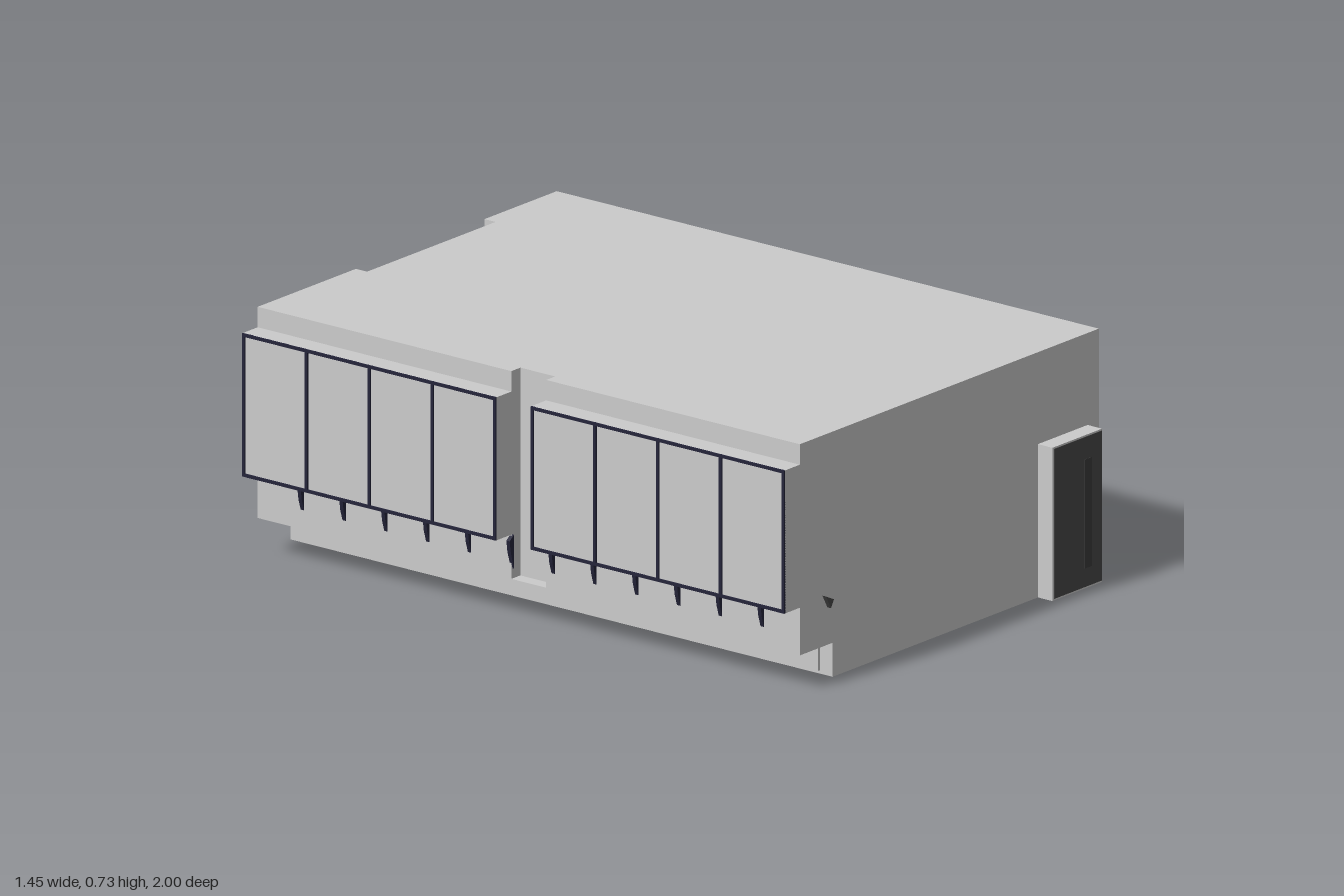
import * as THREE from 'three';

const grey = new THREE.MeshStandardMaterial({ color: 0xcccccc, flatShading: true });
const coloured = (color) => {
  const m = new THREE.MeshStandardMaterial({ flatShading: true });
  m.color.set(color);
  return m;
};
const navy = coloured(0x24243a);
const charcoal = coloured(0x484848);

// Box given by its extents
function box(parent, name, [x0, x1], [y0, y1], [z0, z1], material = grey) {
  const mesh = new THREE.Mesh(new THREE.BoxGeometry(x1 - x0, y1 - y0, z1 - z0), material);
  mesh.position.set((x0 + x1) / 2, (y0 + y1) / 2, (z0 + z1) / 2);
  mesh.name = name;
  parent.add(mesh);
  return mesh;
}

// Floor plan [x, z] raised from y0 to y1
function slab(parent, name, plan, y0, y1) {
  const shape = new THREE.Shape(plan.map(([x, z]) => new THREE.Vector2(x, -z)));
  const geo = new THREE.ExtrudeGeometry(shape, { depth: y1 - y0, bevelEnabled: false });
  geo.rotateX(-Math.PI / 2).translate(0, y0, 0);
  const mesh = new THREE.Mesh(geo, grey);
  mesh.name = name;
  parent.add(mesh);
}

// Projecting window bay with a thin dark frame and mullions
function windowBay(parent, name, side, wall, [y0, y1], [z0, z1], panes) {
  const bay = new THREE.Group();
  bay.name = name;
  const span = (a, b) => [Math.min(side * a, side * b), Math.max(side * a, side * b)];
  box(bay, 'bayBox', span(wall, 0.72), [y0, y1], [z0, z1]);
  const t = 0.009;
  const depth = span(0.719, 0.725);
  for (const y of [y0, y1 - t]) box(bay, 'frameRail', depth, [y, y + t], [z0, z1], navy);
  for (let i = 0; i <= panes; i++) {
    const z = z0 + ((z1 - z0 - t) * i) / panes;
    box(bay, 'mullion', depth, [y0, y1], [z, z + t], navy);
  }
  parent.add(bay);
}

// Small triangular prism
function wedge(name, points, depth, material) {
  const shape = new THREE.Shape(points.map(([x, y]) => new THREE.Vector2(x, y)));
  const mesh = new THREE.Mesh(new THREE.ExtrudeGeometry(shape, { depth, bevelEnabled: false }), material);
  mesh.name = name;
  return mesh;
}

export function createModel() {
  const model = new THREE.Group();
  model.name = 'building';

  // Main walls and roof, with the rear recess and the slot between the side bays
  const rear = [[0.67, 0.945], [0.67, -1], [0.35, -1], [0.35, -0.96], [-0.22, -0.96], [-0.22, -1]];
  slab(model, 'walls', [...rear, [-0.655, -1], [-0.655, -0.09], [-0.615, -0.09],
    [-0.615, 0.035], [-0.655, 0.035], [-0.655, 0.945]], 0.11, 0.73);
  slab(model, 'base', [...rear, [-0.51, -1], [-0.51, 0.945]], 0.01, 0.11);
  box(model, 'slotLedge', [-0.655, -0.61], [0.11, 0.12], [-0.09, 0.035]);
  box(model, 'baseStrip', [-0.518, -0.505], [0.02, 0.1], [-0.93, 0.9]);

  // Window bays
  windowBay(model, 'tallWindowRear', 1, 0.66, [0.01, 0.67], [-0.76, -0.088], 2);
  windowBay(model, 'tallWindowFront', 1, 0.66, [0.01, 0.67], [0.038, 0.71], 2);
  windowBay(model, 'raisedWindowRear', -1, 0.65, [0.25, 0.67], [-1, -0.09], 4);
  windowBay(model, 'raisedWindowFront', -1, 0.65, [0.25, 0.67], [0.035, 0.945], 4);

  // Brackets beneath the raised windows
  for (let i = 0; i < 12; i++) {
    const bracket = wedge('bracket', [[-0.65, 0.15], [-0.65, 0.25], [-0.67, 0.235], [-0.665, 0.2]], 0.012, navy);
    bracket.position.z = -0.846 + i * 0.15;
    model.add(bracket);
  }

  // Front door and hook
  const door = new THREE.Group();
  door.name = 'door';
  box(door, 'doorFrame', [0.4, 0.62], [0.01, 0.46], [0.94, 0.997]);
  box(door, 'doorPanel', [0.407, 0.618], [0.015, 0.455], [0.99, 0.9985], charcoal);
  box(door, 'doorHandle', [0.54, 0.572], [0.07, 0.39], [0.99, 1], coloured(0x3c3c3c));
  model.add(door);
  const hook = wedge('hook', [[-0.555, 0.26], [-0.533, 0.22], [-0.52, 0.243]], 0.018, charcoal);
  hook.position.z = 0.94;
  model.add(hook);

  // Thin outlined panel and dashes on the rear wall
  const wallZ = [-0.962, -0.955];
  for (const y of [0.355, 0.553]) box(model, 'rearPanelRail', [-0.117, 0.25], [y, y + 0.004], wallZ, navy);
  for (const x of [-0.117, 0.246]) box(model, 'rearPanelStile', [x, x + 0.004], [0.355, 0.557], wallZ, navy);
  for (let i = 0; i < 16; i++) {
    const x = -0.13 + i * 0.0262;
    box(model, 'rearDash', [x, x + 0.012], [0.193, 0.197], wallZ, navy);
  }
  box(model, 'rearEdge', [0.276, 0.28], [0.01, 0.195], wallZ, navy);

  // Outline and ring under the floor
  const under = [0.004, 0.012];
  for (const z of [-0.96, -0.85]) box(model, 'floorRail', [-0.135, 0.28], under, [z, z + 0.006], navy);
  for (const x of [-0.135, 0.274]) box(model, 'floorRail', [x, x + 0.006], under, [-0.96, -0.844], navy);
  const ring = new THREE.Mesh(new THREE.TorusGeometry(0.03, 0.006, 6, 24), navy);
  ring.rotation.x = Math.PI / 2;
  ring.position.set(0.597, 0.006, -0.9);
  ring.name = 'floorRing';
  model.add(ring);

  return model;
}
